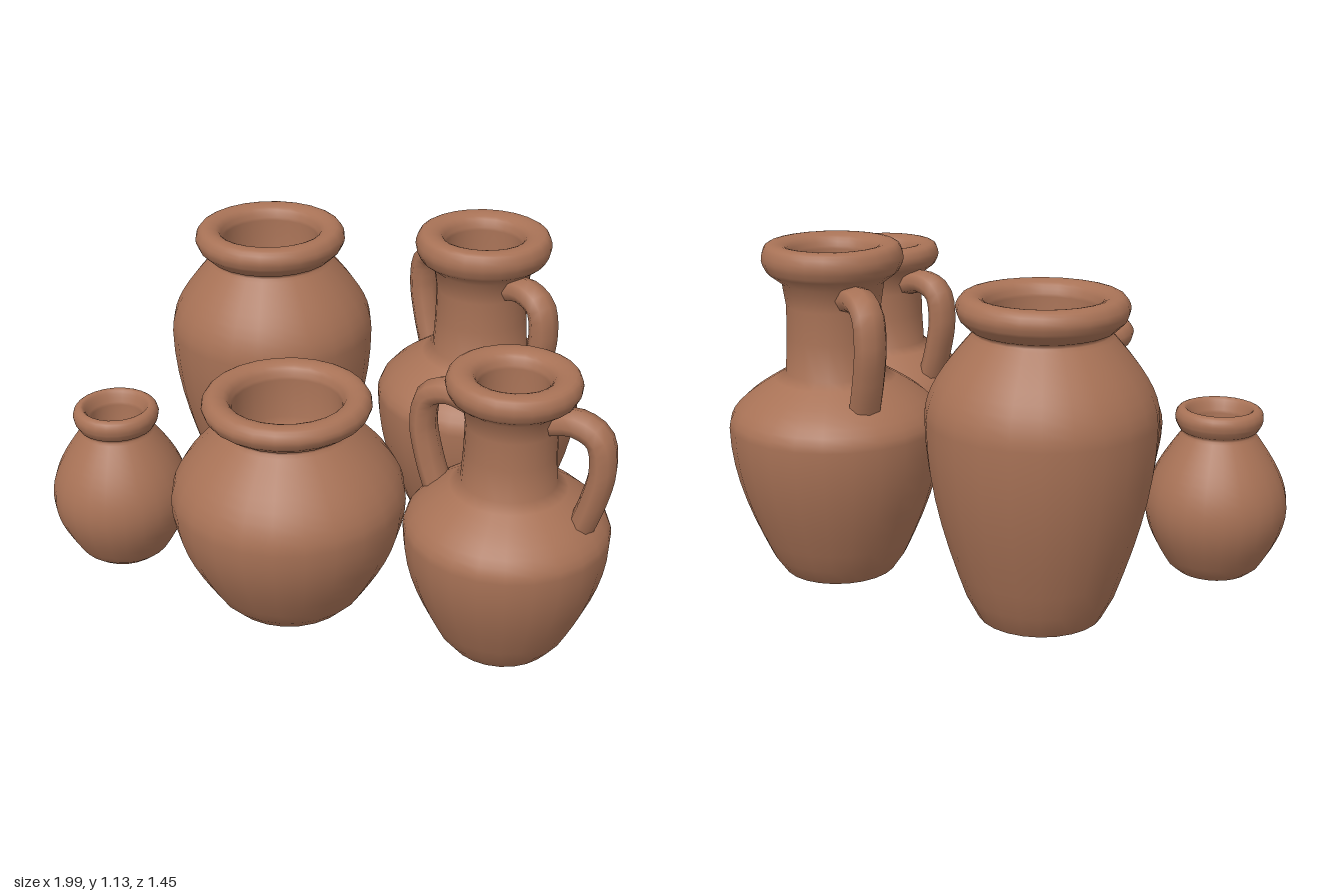
import * as THREE from 'three';

const terracotta = new THREE.MeshStandardMaterial({ color: 0xa87256 });
terracotta.name = 'terracotta';

// Radii: foot, belly, neck, rim, mouth. Heights: bellyY, neckY, rimY, top. Mouth depth.
const pots = [
  { name: 'tallJar', x: -0.44, z: -0.35, foot: 0.21, belly: 0.365, neck: 0.222, rim: 0.268, mouth: 0.17,
    bellyY: 0.66, neckY: 0.92, rimY: 0.945, top: 1.05, depth: 0.24 },
  { name: 'tallAmphora', x: 0.345, z: -0.367, foot: 0.2, belly: 0.358, neck: 0.165, rim: 0.233, mouth: 0.13,
    bellyY: 0.52, neckY: 0.7, rimY: 1.0, top: 1.13, depth: 0.26, handleY: 0.96, yaw: -0.54 },
  { name: 'smallAmphora', x: 0.65, z: 0.335, foot: 0.18, belly: 0.33, neck: 0.152, rim: 0.21, mouth: 0.11,
    bellyY: 0.43, neckY: 0.61, rimY: 0.875, top: 0.985, depth: 0.24, handleY: 0.845, yaw: -0.17 },
  { name: 'roundJar', x: -0.095, z: 0.34, foot: 0.22, belly: 0.39, neck: 0.222, rim: 0.278, mouth: 0.18,
    bellyY: 0.4, neckY: 0.655, rimY: 0.68, top: 0.78, depth: 0.22 },
  { name: 'littleJar', x: -0.76, z: 0.282, foot: 0.135, belly: 0.238, neck: 0.128, rim: 0.147, mouth: 0.09,
    bellyY: 0.24, neckY: 0.485, rimY: 0.505, top: 0.58, depth: 0.14 },
];

// Turned body: swelling wall, rounded shoulder, neck, rolled lip and hollow mouth
function bodyGeometry({ foot, belly, neck, rim, mouth, bellyY, neckY, rimY, top, depth }) {
  const points = [];
  const add = (r, y) => points.push(new THREE.Vector2(r, y));
  const { lerp } = THREE.MathUtils;
  const steps = 8;

  add(0, 0);
  add(foot - 0.025, 0);
  add(foot - 0.01, 0.006);
  for (let i = 1; i <= steps; i++) {
    const t = i / steps;
    add(lerp(foot, belly, Math.sin(t * Math.PI / 2)), bellyY * t);
  }
  for (let i = 1; i <= steps; i++) {
    const t = i / steps;
    add(lerp(neck, belly, Math.cos(t * Math.PI / 2)), lerp(bellyY, neckY, t));
  }
  add(neck * 0.96, lerp(neckY, rimY, 0.4));
  add(neck * 0.95, lerp(neckY, rimY, 0.75));
  add(neck * 1.02, rimY);

  const lip = new THREE.SplineCurve([
    new THREE.Vector2(lerp(neck, rim, 0.75), lerp(rimY, top, 0.28)),
    new THREE.Vector2(rim, lerp(rimY, top, 0.6)),
    new THREE.Vector2(rim * 0.94, top - 0.008),
    new THREE.Vector2(lerp(mouth, rim, 0.5), top),
    new THREE.Vector2(mouth + 0.015, top - 0.015),
    new THREE.Vector2(mouth, top - 0.05),
  ]);
  points.push(...lip.getPoints(15));
  add(mouth, top - depth * 0.85);
  add(mouth * 0.85, top - depth);
  add(0, top - depth);
  return new THREE.LatheGeometry(points, 24);
}

// Strap handle bent outward from the neck and down to the shoulder
function handleGeometry() {
  const path = [[0.125, 0], [0.21, 0.018], [0.285, -0.015], [0.304, -0.11], [0.282, -0.23], [0.235, -0.37]];
  const curve = new THREE.CatmullRomCurve3(path.map(([r, y]) => new THREE.Vector3(r, y, 0)));
  return new THREE.TubeGeometry(curve, 18, 0.043, 8, false).scale(1, 1, 1.3);
}

export function createModel() {
  const group = new THREE.Group();
  group.name = 'potteryGroup';
  const strap = handleGeometry();

  for (const pot of pots) {
    const vessel = new THREE.Group();
    vessel.name = pot.name;
    vessel.position.set(pot.x, 0, pot.z);

    const body = new THREE.Mesh(bodyGeometry(pot), terracotta);
    body.name = pot.name + 'Body';
    vessel.add(body);

    // Pair of opposite handles
    if (pot.handleY) {
      ['leftHandle', 'rightHandle'].forEach((name, i) => {
        const handle = new THREE.Mesh(strap, terracotta);
        handle.name = name;
        handle.position.y = pot.handleY;
        handle.rotation.y = pot.yaw + i * Math.PI;
        vessel.add(handle);
      });
    }
    group.add(vessel);
  }
  return group;
}
